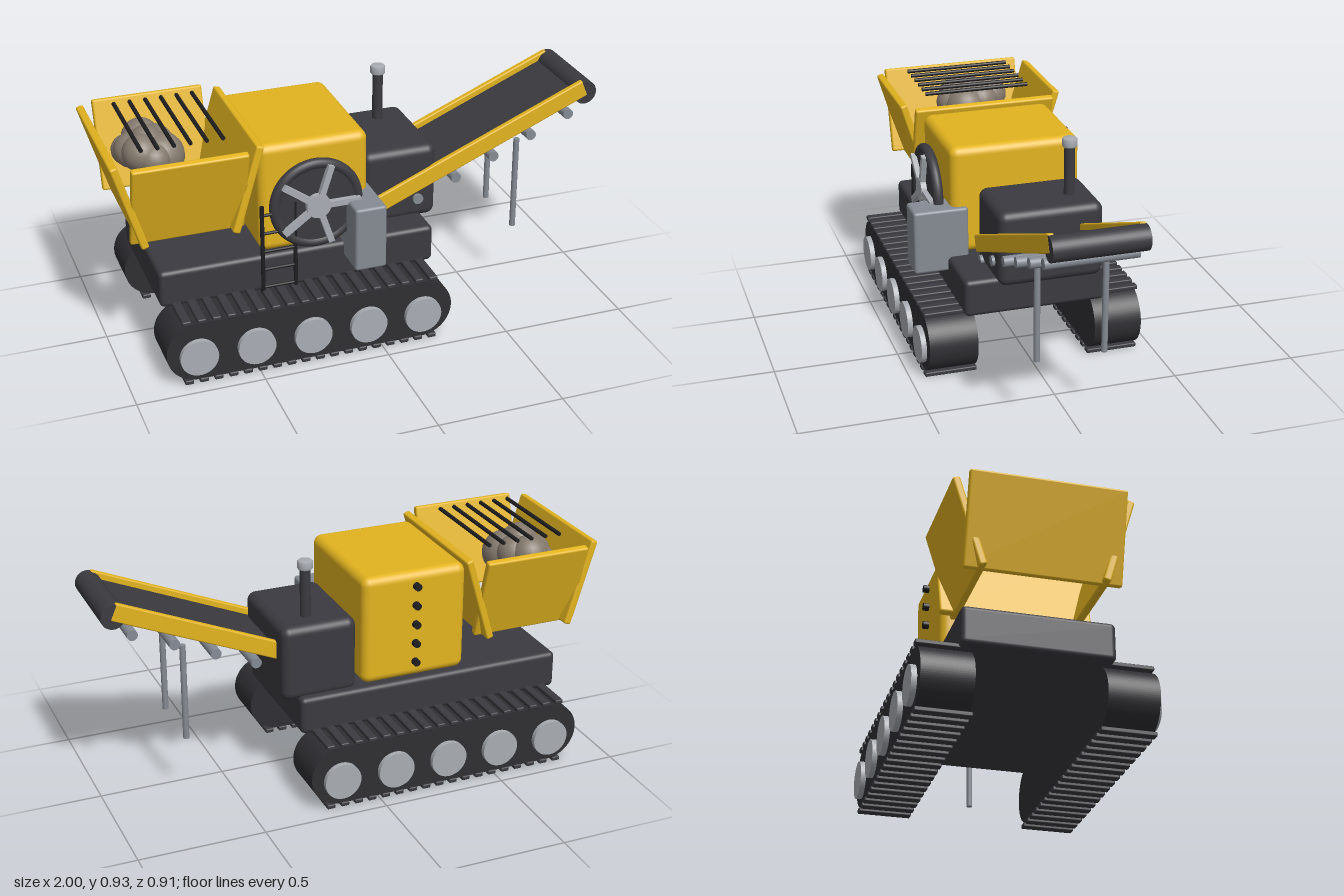
import * as THREE from 'three';
import { RoundedBoxGeometry } from 'three/addons/geometries/RoundedBoxGeometry.js';

const mat = (color) => new THREE.MeshStandardMaterial({ color });
const YELLOW = mat(0xe3b41f), DARK = mat(0x3a3a40), TRACK = mat(0x2f2f33), BLACK = mat(0x1e1e20);
const GREY = mat(0x858b94), LIGHT = mat(0xa9adb3), STONE = mat(0x857a6e);

export function createModel() {
  const root = new THREE.Group();

  const add = (name, geo, material, x, y, z, parent = root) => {
    const m = new THREE.Mesh(geo, material);
    m.name = name;
    m.position.set(x, y, z);
    parent.add(m);
    return m;
  };
  // Rounded box given by its extents
  const block = (name, material, [x0, x1], [y0, y1], [z0, z1], r, parent) =>
    add(name, new RoundedBoxGeometry(x1 - x0, y1 - y0, z1 - z0, 4, r), material,
      (x0 + x1) / 2, (y0 + y1) / 2, (z0 + z1) / 2, parent);
  const rodY = (name, material, r, y0, y1, x, z, parent) =>
    add(name, new THREE.CylinderGeometry(r, r, y1 - y0, 24), material, x, (y0 + y1) / 2, z, parent);
  const rodZ = (name, material, r, z0, z1, x, y, parent) => {
    const m = add(name, new THREE.CylinderGeometry(r, r, z1 - z0, 32), material, x, y, (z0 + z1) / 2, parent);
    m.rotation.x = Math.PI / 2;
    return m;
  };
  const group = (name) => {
    const g = new THREE.Group();
    g.name = name;
    root.add(g);
    return g;
  };

  // Crawler tracks with cleats and road wheels
  const xa = -0.74, xb = 0.163, R = 0.122;
  const loop = new THREE.Shape();
  loop.moveTo(xa, -R);
  loop.lineTo(xb, -R);
  loop.absarc(xb, 0, R, -Math.PI / 2, Math.PI / 2, false);
  loop.lineTo(xa, R);
  loop.absarc(xa, 0, R, Math.PI / 2, Math.PI * 1.5, false);
  const loopGeo = new THREE.ExtrudeGeometry(loop, { depth: 0.195, bevelEnabled: false, curveSegments: 24 });
  const cleatGeo = new RoundedBoxGeometry(0.034, 0.018, 0.21, 2, 0.005);
  for (const s of [1, -1]) {
    const g = group(s > 0 ? 'frontTrack' : 'backTrack');
    add('trackBelt', loopGeo, TRACK, 0, 0.14, s * 0.3375 - 0.0975, g);
    for (let i = 0; i < 18; i++) {
      for (const y of [0.012, 0.27]) add('cleat', cleatGeo, DARK, -0.78 + i * 0.058, y, s * 0.336, g);
    }
    for (let i = 0; i < 5; i++) {
      rodZ('roadWheel', LIGHT, 0.074, s * 0.442 - 0.014, s * 0.442 + 0.014, xa + i * 0.2255, 0.122, g);
    }
  }

  // Main bodies
  block('deck', DARK, [-0.84, 0.265], [0.26, 0.412], [-0.286, 0.286], 0.02);
  block('crusherHousing', YELLOW, [-0.437, 0], [0.412, 0.857], [-0.265, 0.265], 0.035);
  block('engineHousing', DARK, [0.02, 0.325], [0.395, 0.702], [-0.255, 0.165], 0.035);
  block('controlCabinet', GREY, [-0.108, 0.018], [0.352, 0.614], [0.2, 0.422], 0.012);
  rodY('exhaustPipe', DARK, 0.021, 0.68, 0.9, 0.195, -0.155);
  block('exhaustCap', LIGHT, [0.166, 0.224], [0.896, 0.932], [-0.184, -0.126], 0.01).geometry =
    new THREE.LatheGeometry([[0, -0.018], [0.026, -0.018], [0.03, -0.013], [0.03, 0.012], [0.025, 0.018], [0, 0.018]]
      .map(([r, y]) => new THREE.Vector2(r, y)), 32);
  for (let i = 0; i < 5; i++) rodZ('housingBolt', BLACK, 0.015, -0.287, -0.255, -0.22, 0.48 + i * 0.08);

  // Flywheel with rounded rim and five spokes
  const fly = group('flywheel');
  fly.position.set(-0.225, 0.613, 0.302);
  add('rim', new THREE.TorusGeometry(0.164, 0.021, 16, 64), DARK, 0, 0, 0, fly);
  rodZ('disc', DARK, 0.164, -0.015, 0.015, 0, 0, fly);
  rodZ('hub', LIGHT, 0.048, -0.04, 0.038, 0, 0, fly);
  for (let i = 0; i < 5; i++) {
    const a = (i * Math.PI * 2) / 5;
    const spoke = add('spoke', new THREE.BoxGeometry(0.15, 0.024, 0.03),
      LIGHT, Math.cos(a) * 0.093, Math.sin(a) * 0.093, 0.022, fly);
    spoke.rotation.z = a;
  }

  // Ladder
  const ladder = group('ladder');
  for (const x of [-0.442, -0.312]) rodY('ladderRail', BLACK, 0.008, 0.265, 0.637, x, 0.31, ladder);
  for (let i = 0; i < 5; i++) {
    const rung = add('ladderRung', new THREE.CylinderGeometry(0.006, 0.006, 0.13, 12), BLACK, -0.377, 0.29 + i * 0.077, 0.31, ladder);
    rung.rotation.z = Math.PI / 2;
  }

  // Hopper: four flared plates, grizzly bars and a heap of stones
  const hopper = group('hopper');
  const tilt = 0.29, hx = -0.71, hy = 0.704;
  for (const s of [1, -1]) {
    const end = add('hopperEndPlate', new RoundedBoxGeometry(0.03, 0.36, 0.59, 2, 0.008), YELLOW, hx + s * 0.225, hy, 0, hopper);
    end.rotation.z = -s * tilt;
    const side = add('hopperSidePlate', new RoundedBoxGeometry(0.44, 0.36, 0.03, 2, 0.008), YELLOW, hx, hy, s * 0.279, hopper);
    side.rotation.x = s * tilt;
  }
  for (let i = 0; i < 6; i++) rodZ('grizzlyBar', BLACK, 0.008, -0.22, 0.22, -0.865 + i * 0.062, 0.897, hopper);
  const stones = [
    [-0.79, 0.79, -0.12, 0.075], [-0.84, 0.77, -0.06, 0.07], [-0.75, 0.78, -0.07, 0.075], [-0.82, 0.79, 0.02, 0.075],
    [-0.74, 0.76, 0.0, 0.09], [-0.78, 0.77, 0.05, 0.065], [-0.85, 0.75, -0.11, 0.06], [-0.79, 0.81, -0.03, 0.065],
  ];
  for (const [x, y, z, r] of stones) add('stone', new THREE.SphereGeometry(r, 20, 14), STONE, x, y, z, hopper);

  // Discharge conveyor
  const conveyor = group('conveyor');
  const slope = 0.402;
  const frame = new THREE.Group();
  frame.name = 'conveyorFrame';
  frame.position.set(0.492, 0.66, 0);
  frame.rotation.z = slope;
  conveyor.add(frame);
  for (const s of [1, -1]) {
    add('conveyorRail', new RoundedBoxGeometry(1.0, 0.07, 0.024, 2, 0.006), YELLOW, 0, 0, s * 0.168, frame);
    rodY('supportPost', GREY, 0.012, 0.263, 0.657, 0.683, s * 0.132, conveyor);
  }
  add('belt', new THREE.BoxGeometry(0.98, 0.02, 0.32), DARK, 0, 0, 0, frame);
  rodZ('headDrum', DARK, 0.048, -0.179, 0.179, 0.953, 0.836, conveyor);
  for (let i = 0; i < 6; i++) {
    rodZ('idlerRoller', GREY, 0.021, -0.177, 0.177, 0.085 + i * 0.16, 0.413 + i * 0.0675, conveyor);
  }
  return root;
}
